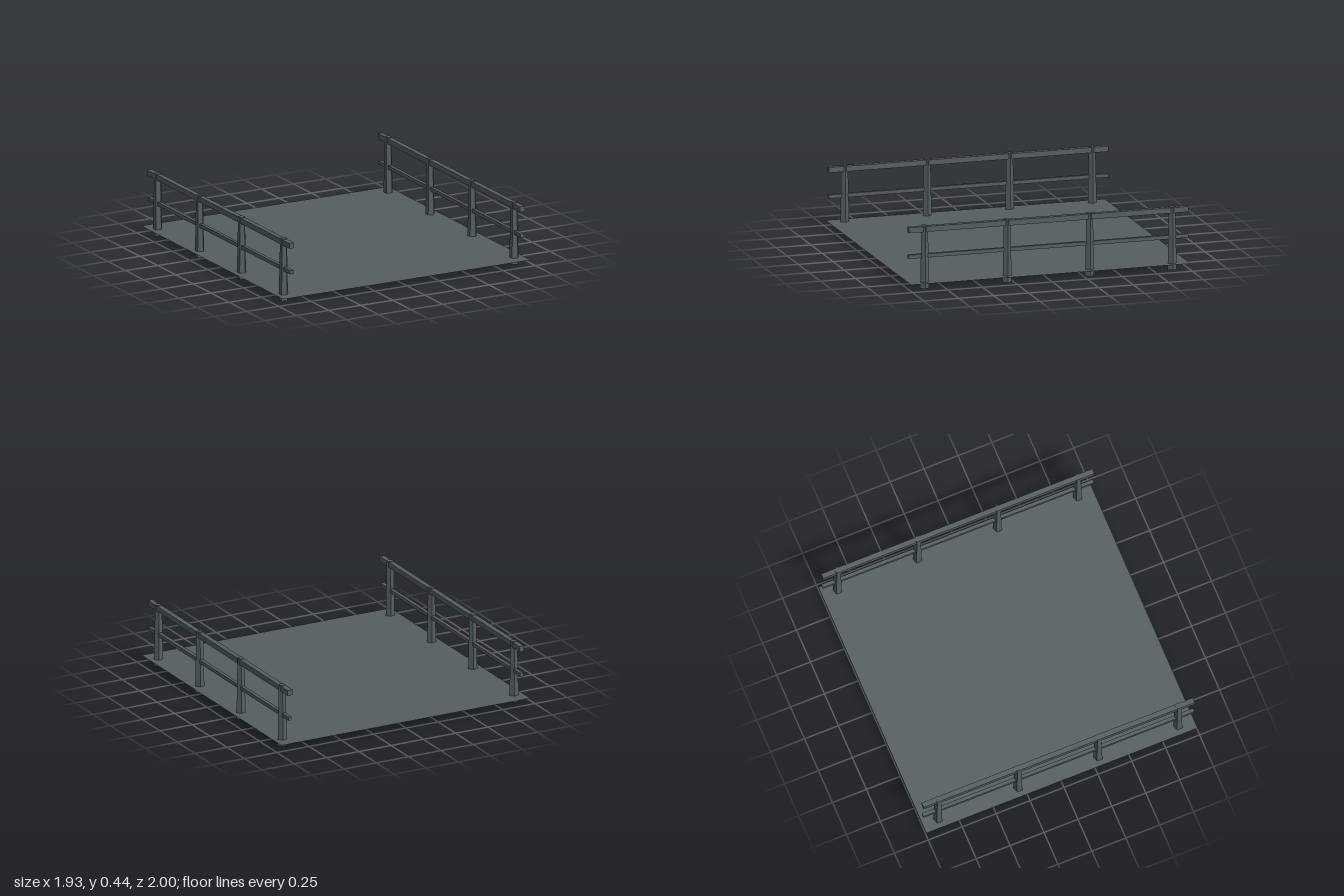
import * as THREE from 'three';

export function createModel() {
  const model = new THREE.Group();
  const slate = new THREE.MeshStandardMaterial({ color: 0x555e61, flatShading: true });
  slate.name = 'slateGrey';
  const deckSlate = slate.clone();
  deckSlate.name = 'slateGreyDeck';
  deckSlate.side = THREE.DoubleSide;

  const add = (parent, geometry, material, name, x, y, z) => {
    const mesh = new THREE.Mesh(geometry, material);
    mesh.name = name;
    mesh.position.set(x, y, z);
    parent.add(mesh);
    return mesh;
  };

  // Thin flat walkway, slightly above the post feet
  const deck = new THREE.PlaneGeometry(1.93, 2).rotateX(-Math.PI / 2);
  add(model, deck, deckSlate, 'deck', 0, 0.045, 0);

  // Five-sided tapered posts with one ridge towards +x
  const postGeometry = new THREE.CylinderGeometry(0.025, 0.034, 0.44, 5, 1, false, Math.PI / 2);
  const topRailGeometry = new THREE.BoxGeometry(0.037, 0.038, 2);
  const midRailGeometry = new THREE.BoxGeometry(0.026, 0.026, 2);

  // One railing along each long side
  for (const [name, x] of [['leftRailing', 0.898], ['rightRailing', -0.898]]) {
    const railing = new THREE.Group();
    railing.name = name;
    railing.position.x = x;
    for (const z of [-0.885, -0.295, 0.295, 0.885]) {
      add(railing, postGeometry, slate, 'post', 0, 0.22, z);
    }
    add(railing, topRailGeometry, slate, 'topRail', 0, 0.416, 0);
    add(railing, midRailGeometry, slate, 'midRail', 0, 0.228, 0);
    model.add(railing);
  }
  return model;
}
